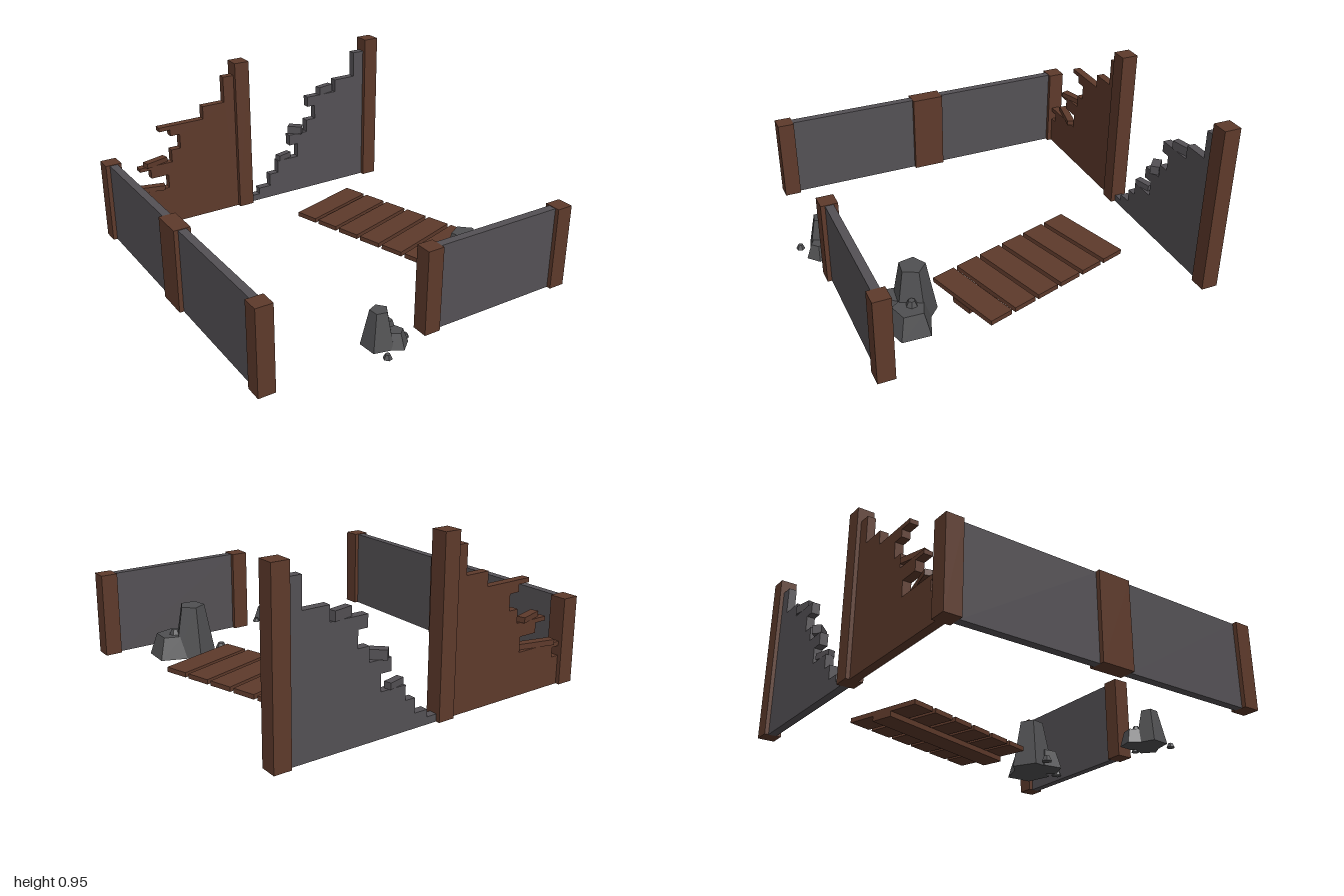
import * as THREE from 'three';

const mat = (name, color) => {
  const m = new THREE.MeshStandardMaterial({ color });
  m.name = name;
  return m;
};

export function createModel() {
  const model = new THREE.Group();
  model.name = 'ruinedBuilding';
  const wood = mat('brownWood', 0x5e3a2b);
  const stone = mat('greyWall', 0x545155);
  const rock = mat('greyRock', 0x505052);
  rock.flatShading = true;

  function add(parent, name, geo, material, x, y, z, ry = 0) {
    const m = new THREE.Mesh(geo, material);
    m.name = name;
    m.position.set(x, y, z);
    m.rotation.y = ry;
    parent.add(m);
    return m;
  }
  // Box given by its bottom height
  const box = (parent, name, material, w, h, d, x, y, z, ry) =>
    add(parent, name, new THREE.BoxGeometry(w, h, d), material, x, y + h / 2, z, ry);
  const group = (name) => {
    const g = new THREE.Group();
    g.name = name;
    model.add(g);
    return g;
  };

  // Posts: x, z, height, depth
  const posts = group('posts');
  [
    [-0.905, -0.942, 0.48, 0.094], [-0.048, -0.942, 0.955, 0.094], [0.905, -0.942, 0.955, 0.094],
    [-0.905, -0.033, 0.48, 0.19], [-0.905, 0.872, 0.48, 0.094],
    [0.047, 0.872, 0.48, 0.094], [0.905, 0.872, 0.48, 0.094],
  ].forEach(([x, z, h, d]) => box(posts, 'post', wood, 0.094, h, d, x, 0, z));

  // Intact low walls
  const walls = group('lowWalls');
  box(walls, 'leftWallBack', stone, 0.046, 0.477, 0.77, -0.905, 0, -0.511);
  box(walls, 'leftWallFront', stone, 0.046, 0.477, 0.765, -0.905, 0, 0.443);
  box(walls, 'frontWall', stone, 0.766, 0.477, 0.046, 0.476, 0, 0.872);

  // Broken back walls, cut from stepped outlines
  const brokenWall = (name, pts, material) => {
    const shape = new THREE.Shape(pts.map(([x, y]) => new THREE.Vector2(x, y)));
    const geo = new THREE.ExtrudeGeometry(shape, { depth: 0.046, bevelEnabled: false });
    add(model, name, geo, material, 0, 0, -0.967);
  };
  brokenWall('brokenWoodWall', [
    [-0.095, 0], [-0.095, 0.875], [-0.165, 0.875], [-0.165, 0.715], [-0.31, 0.715],
    [-0.31, 0.635], [-0.6, 0.635], [-0.6, 0.61], [-0.53, 0.61], [-0.53, 0.57],
    [-0.47, 0.57], [-0.47, 0.48], [-0.53, 0.48], [-0.53, 0.403], [-0.74, 0.403],
    [-0.74, 0.38], [-0.67, 0.38], [-0.67, 0.325], [-0.56, 0.325], [-0.56, 0.24],
    [-0.86, 0.24], [-0.86, 0.215], [-0.81, 0.215], [-0.81, 0.16], [-0.86, 0.16], [-0.86, 0],
  ], wood);
  brokenWall('brokenStoneWall', [
    [0, 0], [0.86, 0], [0.86, 0.875], [0.785, 0.875], [0.785, 0.715], [0.64, 0.715],
    [0.64, 0.635], [0.43, 0.635], [0.43, 0.57], [0.485, 0.57], [0.485, 0.48],
    [0.42, 0.48], [0.42, 0.4], [0.29, 0.4], [0.29, 0.33], [0.35, 0.33], [0.35, 0.24],
    [0.2, 0.24], [0.2, 0.16], [0.14, 0.16], [0.14, 0.08], [0.06, 0.08], [0.06, 0.04], [0, 0.04],
  ], stone);

  // Loose pieces resting on the steps
  box(model, 'loosePlank', wood, 0.15, 0.03, 0.045, -0.63, 0.402, -0.945, 0.28);
  box(model, 'loosePlank', wood, 0.215, 0.03, 0.045, -0.695, 0.24, -0.945, -0.24);
  box(model, 'looseBlock', stone, 0.11, 0.05, 0.04, 0.57, 0.635, -0.946, 0.22);
  box(model, 'looseBlock', stone, 0.09, 0.05, 0.05, 0.35, 0.4, -0.946, -0.75);
  box(model, 'looseBlock', stone, 0.1, 0.035, 0.04, 0.255, 0.24, -0.945, 0.26);

  // Fallen door: six boards on one lengthwise beam
  const door = group('fallenDoor');
  door.position.set(0.465, 0, -0.106);
  door.rotation.y = 0.297;
  for (let i = 0; i < 6; i++)
    box(door, 'board', wood, 0.47, 0.027, 0.139, 0, 0.048, (i - 2.5) * 0.1625);
  box(door, 'beam', wood, 0.13, 0.03, 0.955, 0, 0.018, 0);

  // Rocks: x, z, base radius, top radius, height, turn, base height
  const rocks = (name, list) => {
    const g = group(name);
    list.forEach(([x, z, r0, r1, h, turn, y = 0]) => {
      const geo = new THREE.CylinderGeometry(r1, r0, h, 5);
      add(g, 'rock', geo, rock, x, y + h / 2, z, turn);
    });
    return g;
  };
  const pebbles = (g, list) => list.forEach(([x, y, z, r]) => {
    const geo = new THREE.CylinderGeometry(r * 0.55, r, r, 6);
    add(g, 'pebble', geo, rock, x, y + r / 2, z, x * 9);
  });
  const large = rocks('largeRocks', [
    [0.515, 0.58, 0.128, 0.072, 0.295, 0.5],
    [0.62, 0.635, 0.133, 0.09, 0.125, 0.9],
    [0.475, 0.66, 0.1, 0.065, 0.11, 0.2],
  ]);
  pebbles(large, [[0.34, 0, 0.56, 0.033], [0.53, 0, 0.785, 0.033], [0.61, 0.122, 0.62, 0.033]]);
  const small = rocks('smallRocks', [
    [-0.238, 0.85, 0.092, 0.048, 0.2, 0.4],
    [-0.175, 0.785, 0.08, 0.055, 0.085, 1.0],
    [-0.168, 0.893, 0.072, 0.042, 0.082, 0.1],
  ]);
  pebbles(small, [[-0.27, 0, 0.975, 0.025], [-0.09, 0, 0.87, 0.022], [-0.195, 0.085, 0.785, 0.024]]);

  return model;
}
